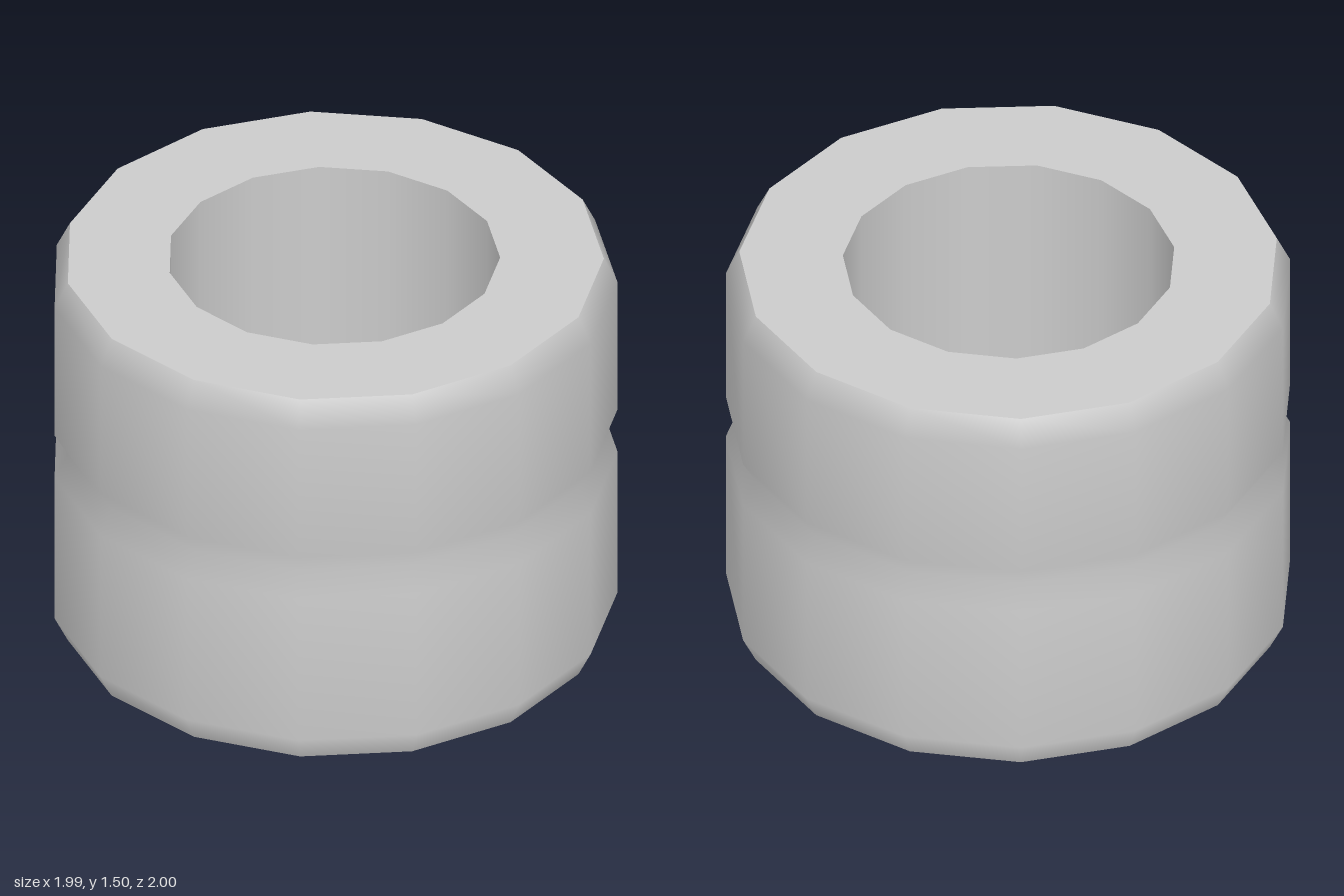
import * as THREE from 'three';

const SIDES = 15;
const HEIGHT = 1.495;
const RIM = 0.957;   // chamfer ends and groove floor
const OUTER = 1.005; // widest bands
const BORE = 0.59;

export function createModel() {
  const group = new THREE.Group();
  group.name = 'groovedRing';
  const material = new THREE.MeshStandardMaterial({ color: 0xcccccc });

  // Each surface is its own lathe, so shading is smooth within it and sharp between them.
  const addLathe = (name, profile) => {
    const points = profile.map(([r, y]) => new THREE.Vector2(r, y));
    const mesh = new THREE.Mesh(new THREE.LatheGeometry(points, SIDES, Math.PI / 2), material);
    mesh.name = name;
    mesh.position.x = -0.011; // odd-sided polygon: centre its bounds
    group.add(mesh);
  };

  // Outer wall: chamfer, lower band, V groove, upper band, chamfer
  addLathe('outerWall', [
    [RIM, 0], [OUTER, 0.097], [OUTER, 0.688], [RIM, 0.78],
    [OUTER, 0.863], [OUTER, 1.397], [RIM, HEIGHT],
  ]);

  // Flat end faces
  addLathe('topFace', [[RIM, HEIGHT], [BORE, HEIGHT]]);
  addLathe('bottomFace', [[BORE, 0], [RIM, 0]]);

  // Straight through-hole
  addLathe('bore', [[BORE, HEIGHT], [BORE, 0]]);

  return group;
}
